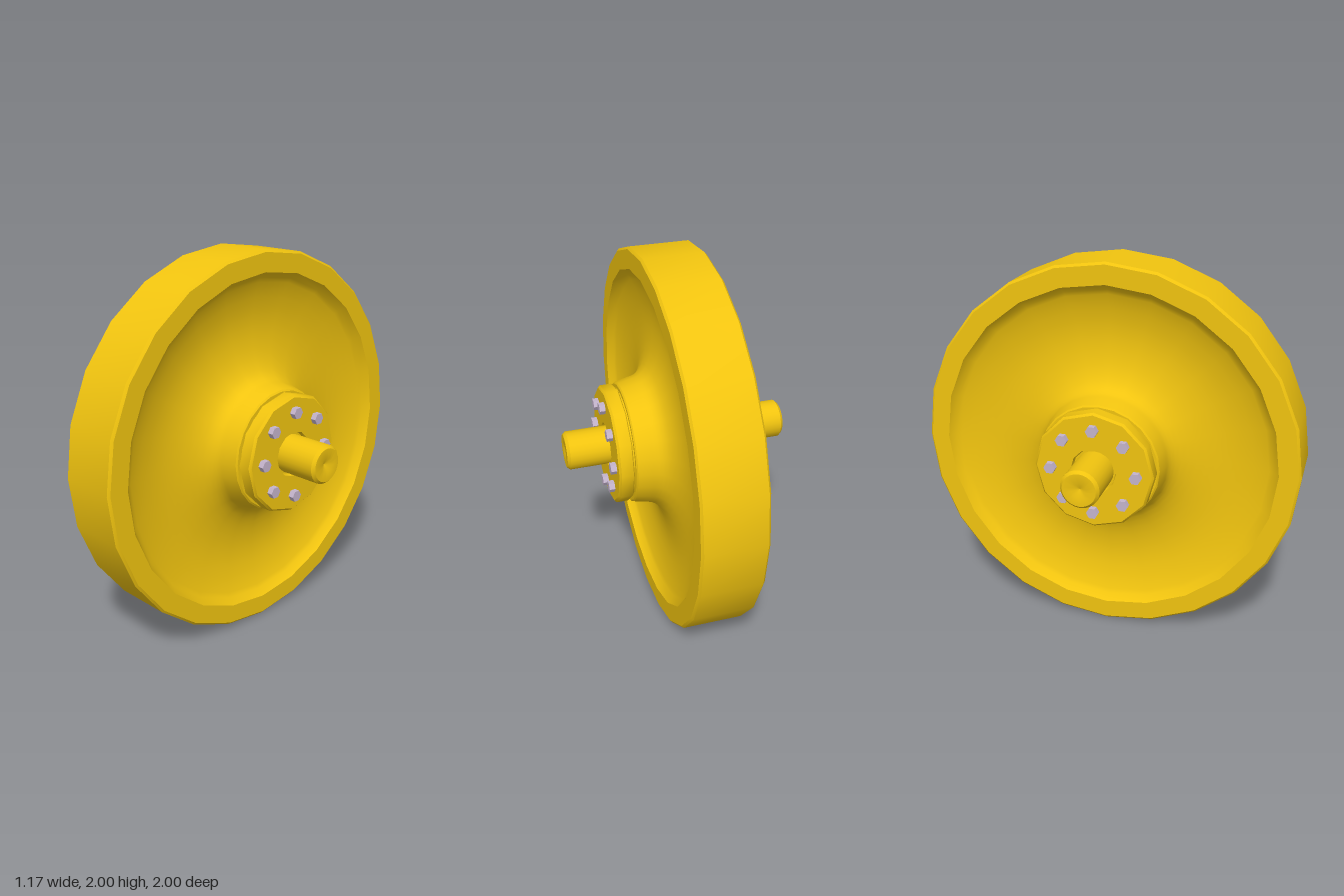
import * as THREE from 'three';
import { toCreasedNormals } from 'three/addons/utils/BufferGeometryUtils.js';

const yellow = new THREE.MeshStandardMaterial({ color: 0xf1c40f });
const steel = new THREE.MeshStandardMaterial({ color: 0xc4b4cc });

// Revolve [x, radius] points around the x axis; points run towards +x
function turned(name, points, sides) {
  const profile = points.map(([x, r]) => new THREE.Vector2(r, x));
  const geometry = new THREE.LatheGeometry(profile, sides).rotateZ(-Math.PI / 2);
  const mesh = new THREE.Mesh(toCreasedNormals(geometry, 0.6), yellow);
  mesh.name = name;
  return mesh;
}

// Mirror a half profile (running outwards to +x) into a full one
const mirrored = (half) => [...half.map(([x, r]) => [-x, r]).reverse(), ...half];

// Cover plate, bolts and groove for the +x end
function createEnd(name) {
  const end = new THREE.Group();
  end.name = name;

  end.add(turned('bearingCover', [
    [0.289, 0.1], [0.289, 0.302], [0.295, 0.31], [0.356, 0.31], [0.367, 0.299],
    [0.367, 0.118], [0.345, 0.112], [0.345, 0.09],
  ], 12));

  // Ring of hexagonal bolt heads
  const bolts = new THREE.Group();
  bolts.name = 'bolts';
  const head = toCreasedNormals(
    new THREE.CylinderGeometry(0.031, 0.031, 0.04, 6).rotateZ(-Math.PI / 2), 0.5);
  for (let i = 0; i < 8; i++) {
    const a = (i * Math.PI) / 4;
    const bolt = new THREE.Mesh(head, steel);
    bolt.name = 'bolt';
    bolt.position.set(0.377, 0.222 * Math.cos(a), 0.222 * Math.sin(a));
    bolts.add(bolt);
  }
  end.add(bolts);
  return end;
}

export function createModel() {
  const model = new THREE.Group();
  model.name = 'wheel';
  const axle = new THREE.Group();
  axle.name = 'wheelAssembly';
  axle.position.y = 1;
  model.add(axle);

  // Dished web sweeping from the rim lip into the flared hub
  const web = new THREE.SplineCurve([
    [0.125, 0.86], [0.098, 0.79], [0.075, 0.68], [0.072, 0.57], [0.09, 0.46],
    [0.125, 0.38], [0.165, 0.344], [0.2, 0.334],
  ].map((p) => new THREE.Vector2(...p))).getPoints(16).map((p) => [p.x, p.y]);

  // Dished faces double back, so the whole wheel body is one closed profile
  axle.add(turned('wheelBody', mirrored([
    [0.152, 1], [0.163, 0.988], [0.163, 0.89], ...web,
    [0.275, 0.318], [0.282, 0.31], [0.282, 0.29], [0.292, 0.29], [0.292, 0.09],
  ]), 24));

  // Through shaft with chamfered ends and centre-drilled dimples
  axle.add(turned('shaft', mirrored([
    [0.572, 0.1], [0.587, 0.086], [0.587, 0.04], [0.567, 0],
  ]), 24));

  // Matching covers on both sides
  const left = createEnd('leftEnd');
  const right = createEnd('rightEnd');
  right.rotation.y = Math.PI;
  axle.add(left, right);
  return model;
}
